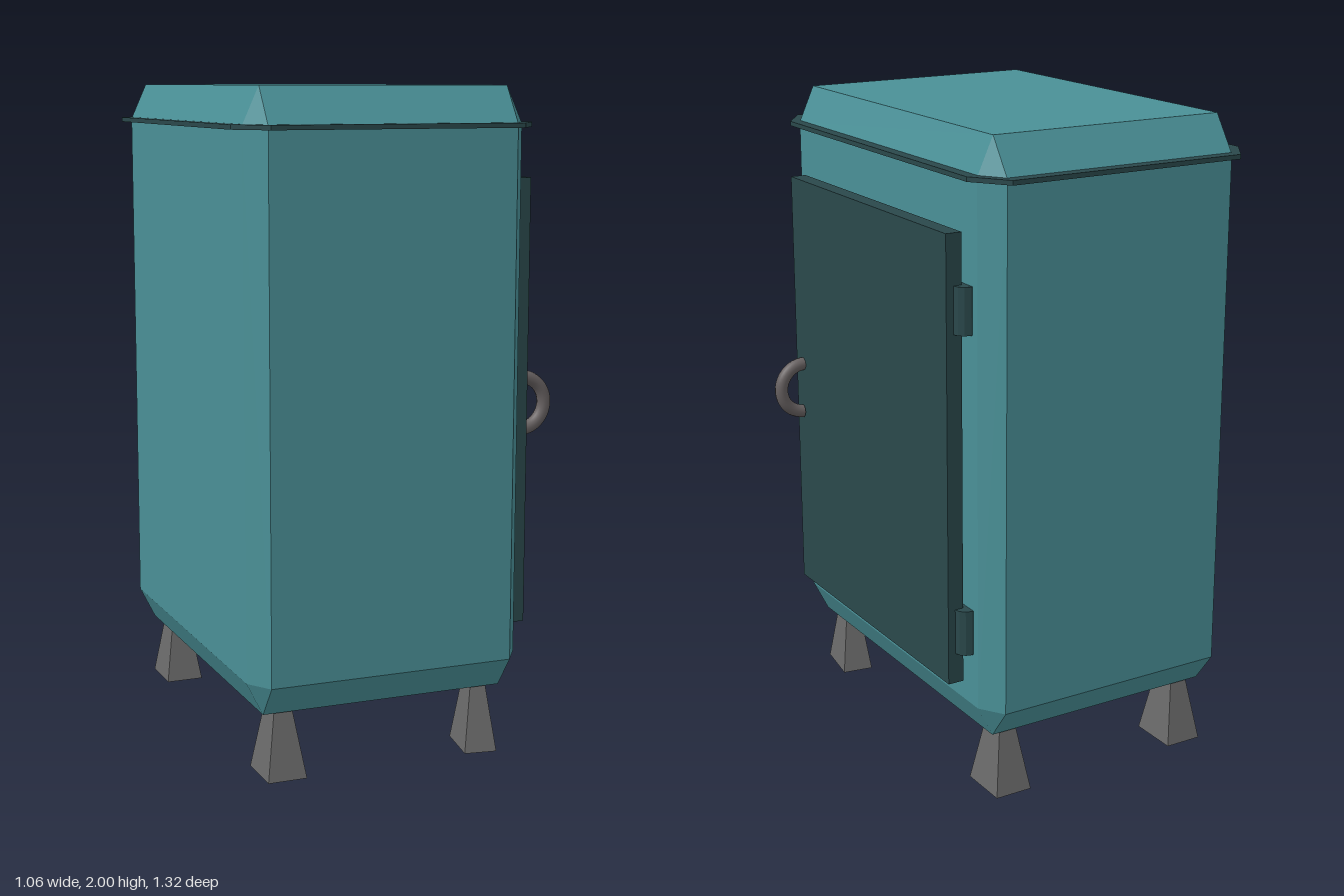
import * as THREE from 'three';
import { ConvexGeometry } from 'three/addons/geometries/ConvexGeometry.js';

const mat = (color, flatShading = true) => new THREE.MeshStandardMaterial({ color, flatShading });
const CX = -0.07; // centre of the cabinet in x

export function createModel() {
  const group = new THREE.Group();
  const teal = mat(0x4a9097), dark = mat(0x2a484b), iron = mat(0x6a6a6a), ironSmooth = mat(0x666060, false);

  function add(name, geometry, material, x = 0, y = 0, z = 0) {
    const mesh = new THREE.Mesh(geometry, material);
    mesh.name = name;
    mesh.position.set(x, y, z);
    group.add(mesh);
    return mesh;
  }

  // Cabinet body: box with every edge and corner chamfered
  const points = [];
  for (const sx of [-1, 1]) for (const sz of [-1, 1]) {
    for (const [yEnd, yIn] of [[0.2, 0.3], [2, 1.89]]) {
      points.push(
        new THREE.Vector3(sx * 0.38, yEnd, sz * 0.55),
        new THREE.Vector3(sx * 0.43, yIn, sz * 0.55),
        new THREE.Vector3(sx * 0.38, yIn, sz * 0.625));
    }
  }
  add('body', new ConvexGeometry(points), teal, CX);

  // Thin trim plate below the lid, with cut corners
  const outline = [[0.385, 0.66], [0.463, 0.55], [0.463, -0.55], [0.385, -0.66],
    [-0.385, -0.66], [-0.463, -0.55], [-0.463, 0.55], [-0.385, 0.66]];
  const trim = new THREE.ExtrudeGeometry(
    new THREE.Shape(outline.map(([x, z]) => new THREE.Vector2(x, z))),
    { depth: 0.014, bevelEnabled: false });
  trim.rotateX(-Math.PI / 2);
  add('lidTrim', trim, dark, CX, 1.88, 0);

  // Door with two hinges on its rear edge
  add('door', new THREE.BoxGeometry(0.05, 1.36, 0.98), dark, 0.4, 1.05, 0);
  for (const y of [0.535, 1.51]) {
    add('hinge', new THREE.CylinderGeometry(0.037, 0.037, 0.14, 12), dark, 0.365, y, -0.488);
  }

  // Curved handle
  const handle = new THREE.TorusGeometry(0.08, 0.021, 12, 24, Math.PI);
  handle.rotateZ(-1.5);
  add('handle', handle, ironSmooth, 0.425, 1.045, 0.445);

  // Tapered feet
  function footGeometry(width, depth) {
    const g = new THREE.BoxGeometry(width, 0.21, depth);
    const p = g.attributes.position;
    for (let i = 0; i < p.count; i++) {
      if (p.getY(i) > 0) p.setXYZ(i, p.getX(i) * 0.45, p.getY(i), p.getZ(i) * 0.5);
    }
    g.computeVertexNormals();
    return g;
  }
  for (const x of [-0.385, 0.252]) for (const z of [-0.5, 0.5]) {
    const turned = x > 0 && z > 0; // this foot sits slightly askew
    const foot = add('foot', footGeometry(turned ? 0.1 : 0.12, 0.16), iron, x, 0.105, z);
    if (turned) foot.rotation.y = -0.15;
  }
  return group;
}
